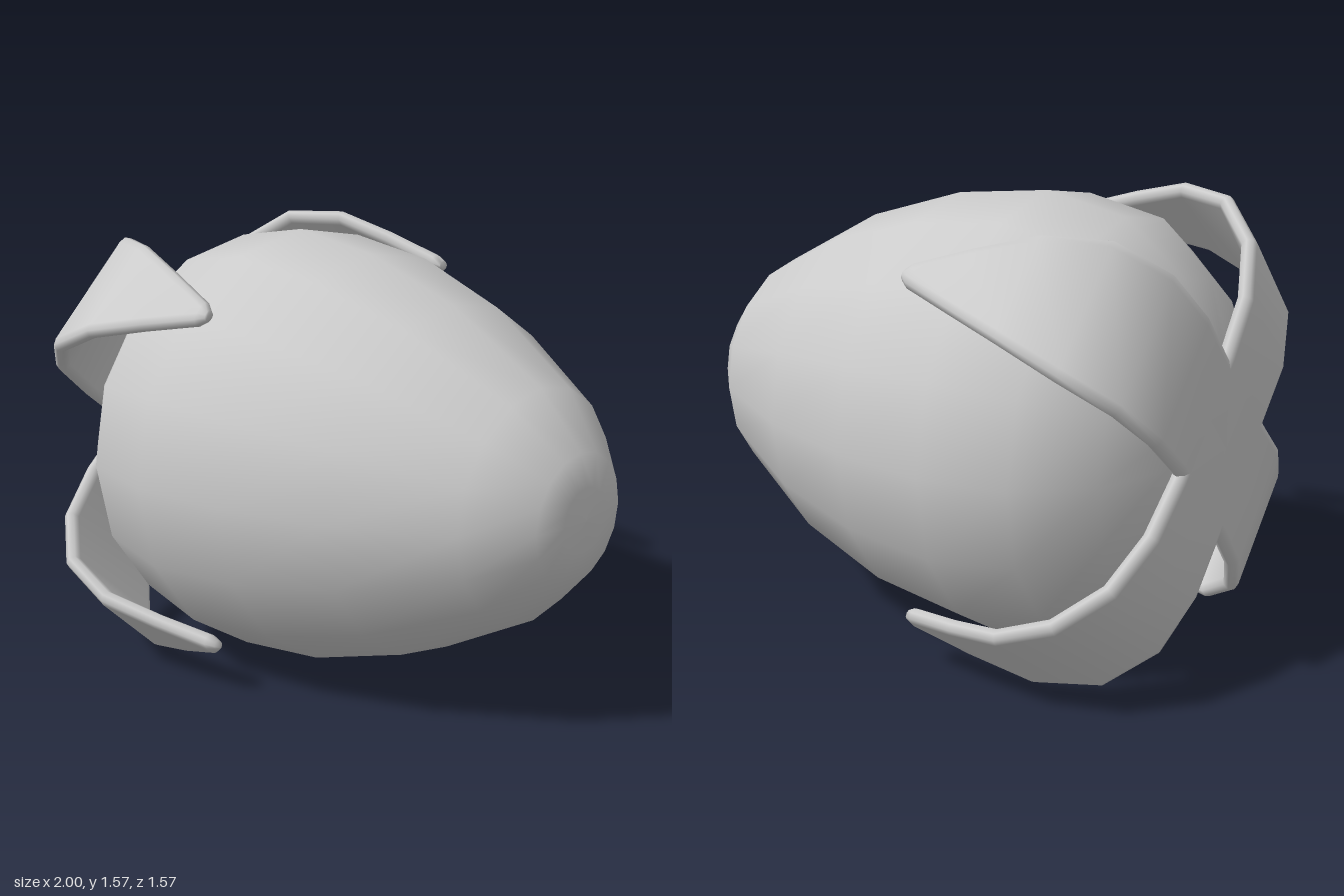
import * as THREE from 'three';

const material = new THREE.MeshStandardMaterial({ color: 0xcccccc });
const AXIS_Y = 0.787;

// Egg-shaped fruit: 16-sided lathe laid along x, blunt end at -x
function createFruit() {
  const profile = [
    [-0.955, 0], [-0.925, 0.29], [-0.82, 0.55], [-0.6, 0.73], [-0.3, 0.787], [0.05, 0.742],
    [0.42, 0.62], [0.8, 0.405], [0.967, 0.222], [0.993, 0.11], [1, 0],
  ].map(([x, r]) => new THREE.Vector2(r, x));
  const geometry = new THREE.LatheGeometry(profile, 16);
  geometry.rotateZ(-Math.PI / 2);
  const fruit = new THREE.Mesh(geometry, material);
  fruit.name = 'fruit';
  return fruit;
}

// Sepal: a thick strip with rounded rims, swept from the axis outward and
// forward over the fruit. Stations are [x, radius, half width].
function createSepalGeometry() {
  const stations = [
    [-0.9725, 0, 0.225], [-0.9725, 0.23, 0.225], [-0.966, 0.445, 0.24], [-0.91, 0.65, 0.255],
    [-0.77, 0.805, 0.25], [-0.57, 0.87, 0.195], [-0.36, 0.86, 0.12],
    [-0.16, 0.84, 0.045], [-0.13, 0.838, 0.02],
  ];
  const half = 0.0275;
  const positions = [];
  const indices = [];
  const count = 10;
  stations.forEach(([x, r, w], i) => {
    const a = stations[Math.max(i - 1, 0)];
    const b = stations[Math.min(i + 1, stations.length - 1)];
    const t = new THREE.Vector2(b[0] - a[0], b[1] - a[1]).normalize();
    const inset = Math.min(0.035, w * 0.7);
    const h = i === stations.length - 1 ? half * 0.6 : half;
    // Cross-section as [across, along the outward normal]
    const side = [[w, 0], [w - inset * 0.3, h * 0.75], [w - inset, h]];
    const upper = [...side, ...side.map(([u, v]) => [-u, v]).reverse()];
    const ring = [...upper, ...upper.slice(1, -1).reverse().map(([u, v]) => [u, -v])];
    for (const [u, v] of ring) positions.push(x - t.y * v, r + t.x * v, u);
    if (i === 0) return;
    for (let j = 0; j < count; j++) {
      const k = (j + 1) % count;
      const p = (i - 1) * count;
      const q = i * count;
      indices.push(p + j, q + j, p + k, p + k, q + j, q + k);
    }
  });
  // Close the tip
  const last = (stations.length - 1) * count;
  for (let j = 1; j < count - 1; j++) indices.push(last, last + j + 1, last + j);
  const geometry = new THREE.BufferGeometry();
  geometry.setAttribute('position', new THREE.Float32BufferAttribute(positions, 3));
  geometry.setIndex(indices);
  geometry.computeVertexNormals();
  return geometry;
}

export function createModel() {
  const model = new THREE.Group();
  model.name = 'fruitWithSepals';
  const body = new THREE.Group();
  body.name = 'body';
  body.position.y = AXIS_Y;
  body.add(createFruit());

  // Four sepals on the diagonals, crossing at the blunt end
  const calyx = new THREE.Group();
  calyx.name = 'calyx';
  const geometry = createSepalGeometry();
  for (let i = 0; i < 4; i++) {
    const sepal = new THREE.Mesh(geometry, material);
    sepal.name = `sepal${i + 1}`;
    sepal.rotation.x = Math.PI / 4 + (i * Math.PI) / 2;
    calyx.add(sepal);
  }
  body.add(calyx);
  model.add(body);
  return model;
}
